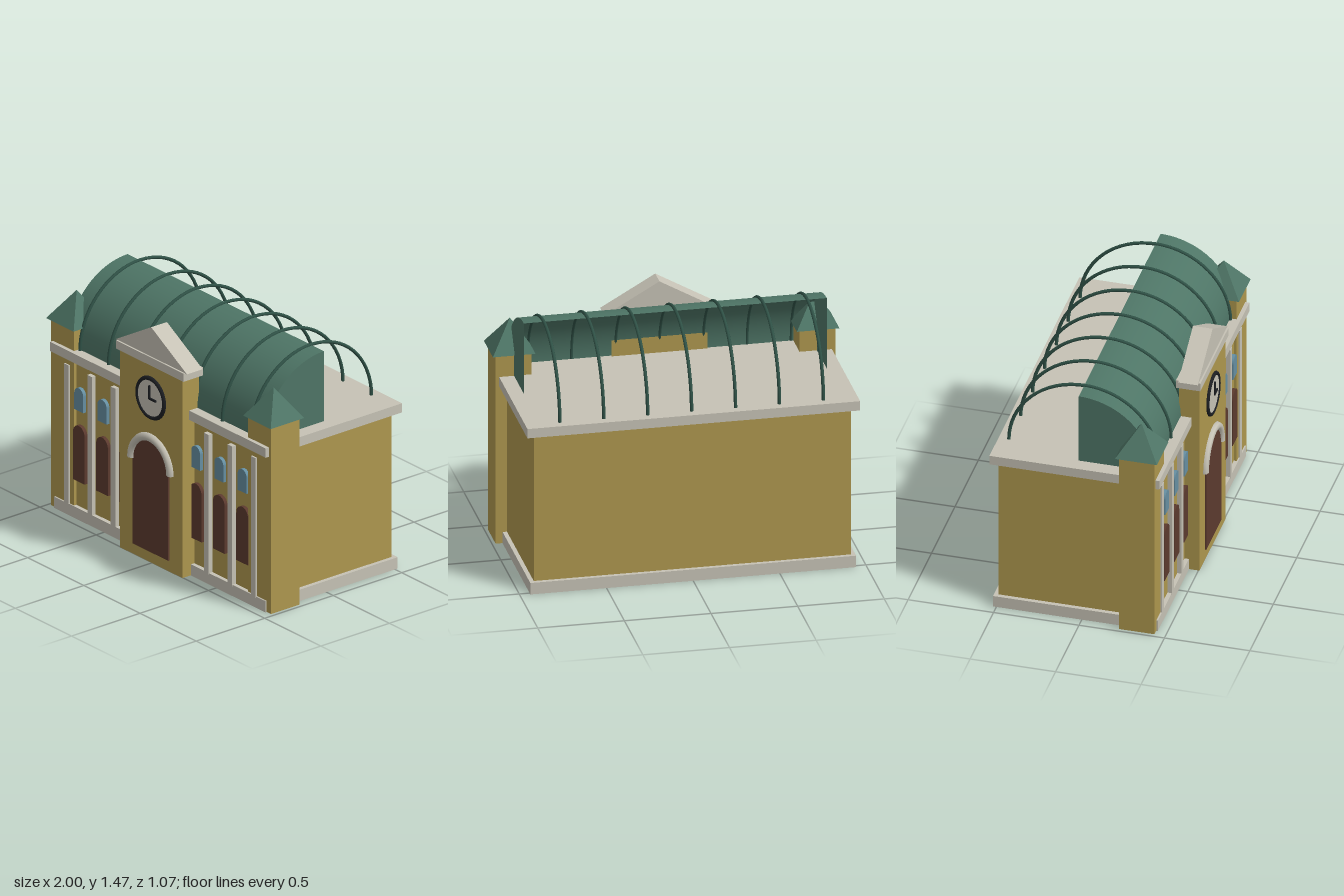
import * as THREE from 'three';

const mat = (name, color, extra = {}) => {
  const m = new THREE.MeshStandardMaterial({ color, ...extra });
  m.name = name;
  return m;
};

export function createModel() {
  const group = new THREE.Group();
  const brick = mat('ochre wall', 0xae974e);
  const stone = mat('pale stone', 0xc6c2b5);
  const roofGreen = mat('roof green', 0x4e7566, { side: THREE.DoubleSide });
  const ribGreen = mat('dark rib green', 0x2f5146);
  const wood = mat('brown door', 0x5c3a2e);
  const glass = mat('blue glass', 0x668fa2);
  const black = mat('clock black', 0x1c1e22);

  const add = (name, geometry, material, x = 0, y = 0, z = 0) => {
    const mesh = new THREE.Mesh(geometry, material);
    mesh.name = name;
    mesh.position.set(x, y, z);
    group.add(mesh);
    return mesh;
  };

  // Box given by its limits on each axis
  const box = (name, material, x0, x1, y0, y1, z0, z1) =>
    add(name, new THREE.BoxGeometry(x1 - x0, y1 - y0, z1 - z0), material,
      (x0 + x1) / 2, (y0 + y1) / 2, (z0 + z1) / 2);

  // Round-topped panel standing on y, with its back at z
  const archPanel = (name, material, x, y, z, width, height, depth) => {
    const r = width / 2;
    const s = new THREE.Shape();
    s.moveTo(-r, 0);
    s.lineTo(r, 0);
    s.lineTo(r, height - r);
    s.absarc(0, height - r, r, 0, Math.PI, false);
    s.closePath();
    const g = new THREE.ExtrudeGeometry(s, { depth, bevelEnabled: false, curveSegments: 16 });
    return add(name, g, material, x, y, z);
  };

  // Main hall
  box('base', stone, -0.94, 0.94, 0, 0.07, -0.52, 0.445);
  box('hallWalls', brick, -0.915, 0.915, 0.03, 1.0, -0.495, 0.42);
  box('cornice', stone, -0.96, 0.96, 0.966, 1.023, -0.535, 0.46);

  // Corner towers, pilasters and window bays, mirrored
  for (const side of [-1, 1]) {
    const tx = side * 0.877;
    add('cornerTower', new THREE.BoxGeometry(0.207, 1.158, 0.207), brick, tx, 0.581, 0.333);

    const cone = new THREE.ConeGeometry(0.123 * Math.SQRT2, 0.182, 4).rotateY(Math.PI / 4).toNonIndexed();
    cone.computeVertexNormals();
    add('cornerTowerRoof', cone, roofGreen, tx, 1.246, 0.333);

    for (let i = 0; i < 3; i++) {
      const px = side * (0.833 - i * 0.209);
      box('pilaster', stone, px - 0.021, px + 0.021, 0.06, 0.923, 0.41, 0.446);
      const wx = side * (0.727 - i * 0.207);
      archPanel('lowerDoor', wood, wx, 0.233, 0.415, 0.104, 0.345, 0.026);
      archPanel('upperWindow', glass, wx, 0.67, 0.415, 0.08, 0.14, 0.026);
    }
  }

  // Quarter-round roof shell with closed ends, open to the back
  const vaultZ = -0.036, vaultY = 1.021, vaultR = 0.434, vaultHalf = 0.874;
  const shell = new THREE.CylinderGeometry(vaultR, vaultR, vaultHalf * 2, 24, 1, true, 0, Math.PI / 2);
  shell.rotateZ(Math.PI / 2);
  add('vaultRoof', shell, roofGreen, 0, vaultY, vaultZ);
  for (const side of [-1, 1]) {
    const end = new THREE.CircleGeometry(vaultR, 24, 0, Math.PI / 2).rotateY(-Math.PI / 2);
    add('vaultEnd', end, roofGreen, side * vaultHalf, vaultY, vaultZ);
  }

  // Arched ribs over the whole depth
  for (let i = -3; i <= 3; i++) {
    const rib = new THREE.TorusGeometry(0.44, 0.01, 8, 32, Math.PI).rotateY(Math.PI / 2);
    add('roofRib', rib, ribGreen, i * 0.2535, 1.018, vaultZ);
  }

  // Central entrance tower with pediment
  box('entranceTower', brick, -0.277, 0.277, 0.002, 1.23, 0.386, 0.507);
  box('pedimentLedge', stone, -0.3, 0.3, 1.224, 1.275, 0.376, 0.518);
  const gable = new THREE.Shape([
    new THREE.Vector2(-0.318, 0), new THREE.Vector2(0.318, 0), new THREE.Vector2(0, 0.182),
  ]);
  add('pediment', new THREE.ExtrudeGeometry(gable, { depth: 0.115, bevelEnabled: false }),
    stone, 0, 1.274, 0.393);

  // Main door with stone arch
  archPanel('mainDoor', wood, 0, 0.07, 0.506, 0.32, 0.692, 0.009);
  add('doorArch', new THREE.TorusGeometry(0.174, 0.025, 8, 24, Math.PI), stone, 0, 0.6, 0.509);

  // Clock
  add('clockFace', new THREE.CylinderGeometry(0.12, 0.12, 0.012, 32).rotateX(Math.PI / 2),
    stone, 0, 1.02, 0.51);
  add('clockRim', new THREE.TorusGeometry(0.119, 0.013, 8, 32), black, 0, 1.02, 0.51);
  box('minuteHand', black, -0.005, 0.005, 1.015, 1.1, 0.515, 0.526);
  box('hourHand', black, -0.005, 0.055, 1.013, 1.026, 0.515, 0.525);

  return group;
}
